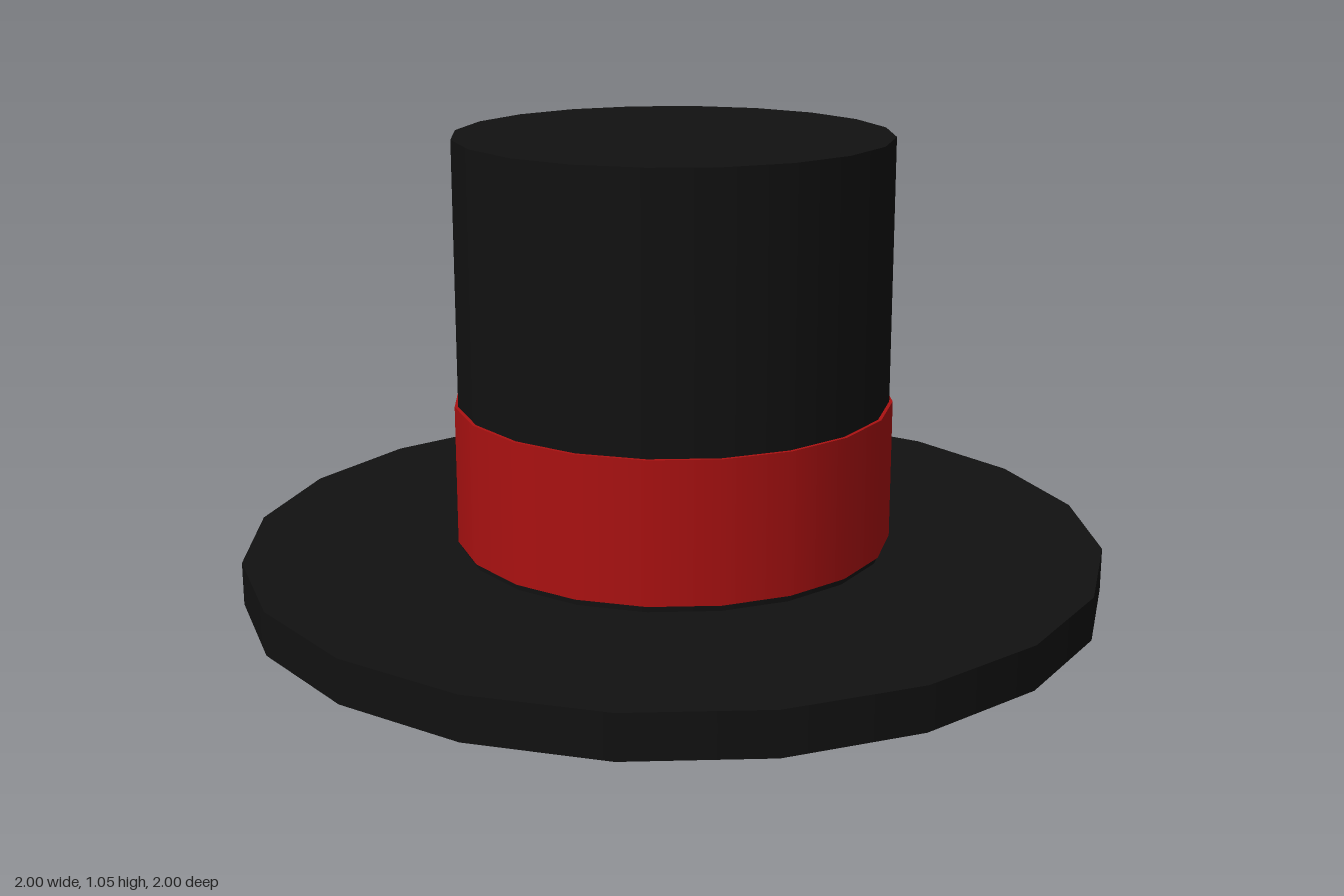
import * as THREE from 'three';

const SIDES = 20;

// Upright closed cylinder between two heights
function disc(name, radius, bottom, top, material) {
  const geometry = new THREE.CylinderGeometry(radius, radius, top - bottom, SIDES);
  const mesh = new THREE.Mesh(geometry, material);
  mesh.name = name;
  mesh.position.y = (bottom + top) / 2;
  return mesh;
}

export function createModel() {
  const felt = new THREE.MeshStandardMaterial({ color: 0x111111 });
  const ribbon = new THREE.MeshStandardMaterial({ color: 0xaa1111 });

  const hat = new THREE.Group();
  hat.name = 'topHat';
  hat.add(
    disc('brim', 1, 0, 0.1, felt),
    disc('crown', 0.5, 0.05, 1.05, felt),
    disc('band', 0.508, 0.115, 0.44, ribbon), // sits just above the brim
  );
  return hat;
}
